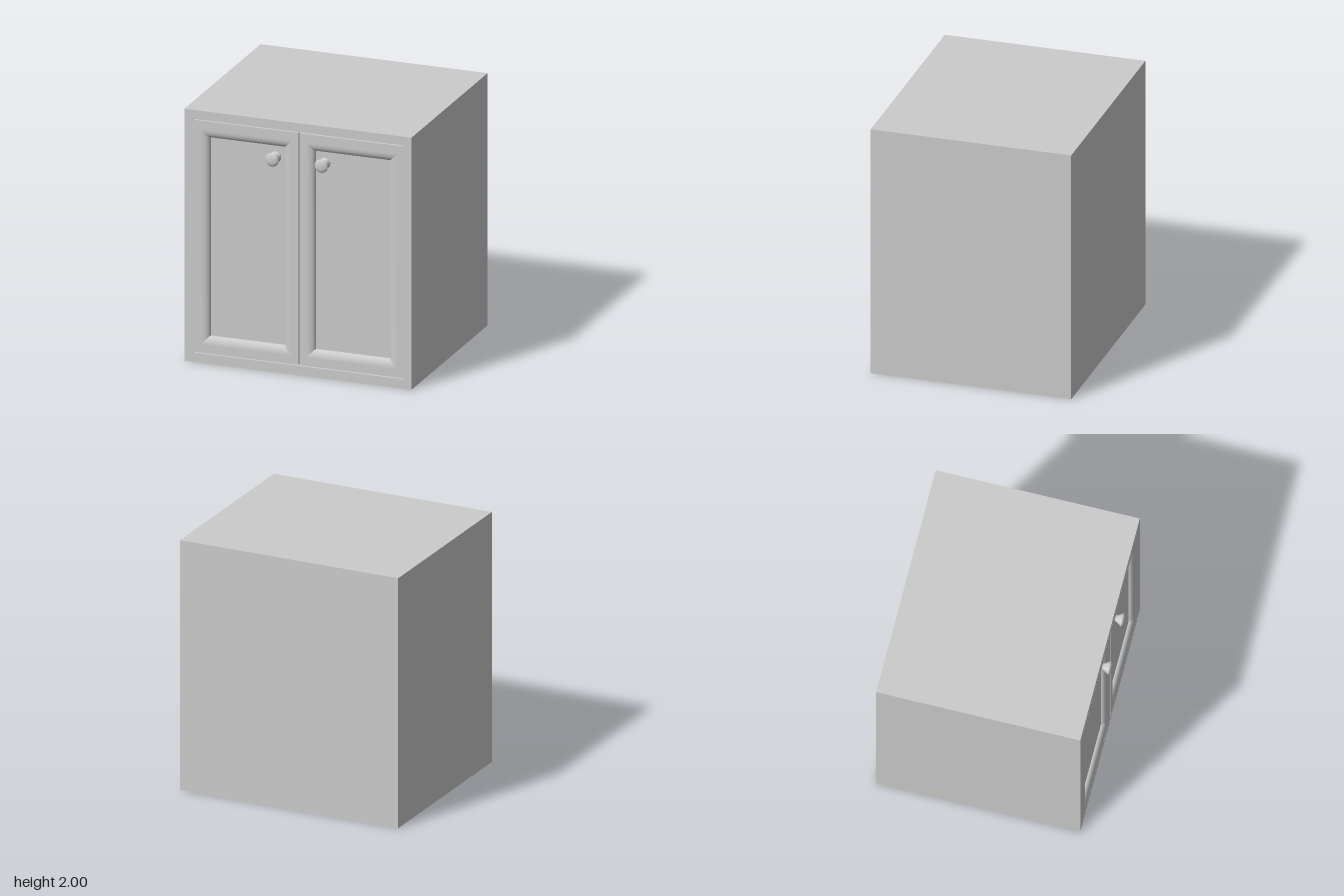
import * as THREE from 'three';
import { toCreasedNormals } from 'three/addons/utils/BufferGeometryUtils.js';

const material = new THREE.MeshStandardMaterial({ color: 0xcccccc });
const FRONT = 0.757, BACK = -0.82, BACK_PANEL = 0.015;
const DOOR_DEPTH = 0.06, RECESS = 0.04, MOULD = 0.065;

function mesh(name, geometry) {
  const m = new THREE.Mesh(geometry, material);
  m.name = name;
  return m;
}

// Rectangle corners, counter-clockwise seen from the front
const corners = ({ x0, x1, y0, y1 }, inset = 0) => [
  new THREE.Vector2(x0 + inset, y0 + inset),
  new THREE.Vector2(x1 - inset, y0 + inset),
  new THREE.Vector2(x1 - inset, y1 - inset),
  new THREE.Vector2(x0 + inset, y1 - inset),
];

// Rectangular frame whose front lies at FRONT
function frame(outer, opening, depth) {
  const shape = new THREE.Shape(corners(outer));
  shape.holes.push(new THREE.Path(corners(opening).reverse()));
  return new THREE.ExtrudeGeometry(shape, { depth, bevelEnabled: false })
    .translate(0, 0, FRONT - depth);
}

// Quarter-round moulding rolling inward to the panel, with mitred corners
function moulding(rect, steps = 10) {
  const positions = [], indices = [];
  for (let side = 0; side < 4; side++) {
    const base = positions.length / 3;
    for (let i = 0; i <= steps; i++) {
      const a = (i / steps) * Math.PI / 2;
      const ring = corners(rect, MOULD * Math.sin(a));
      const z = FRONT - RECESS * (1 - Math.cos(a));
      for (const p of [ring[side], ring[(side + 1) % 4]]) positions.push(p.x, p.y, z);
      if (i < steps) {
        const v = base + i * 2;
        indices.push(v, v + 1, v + 3, v, v + 3, v + 2);
      }
    }
  }
  const g = new THREE.BufferGeometry();
  g.setAttribute('position', new THREE.Float32BufferAttribute(positions, 3));
  g.setIndex(indices);
  g.computeVertexNormals();
  return g;
}

// Turned knob: round foot, narrow neck, flared head with a shallow dome
function knobGeometry() {
  const profile = [
    [0, 0], [0.038, 0], [0.043, 0.008], [0.04, 0.018], [0.029, 0.028], [0.026, 0.036],
    [0.03, 0.046], [0.051, 0.08], [0.053, 0.086], [0.049, 0.093], [0.037, 0.099],
    [0.02, 0.102], [0, 0.103],
  ].map(([r, y]) => new THREE.Vector2(r, y));
  return toCreasedNormals(new THREE.LatheGeometry(profile, 32).rotateX(Math.PI / 2), 0.7);
}

function door(name, outer, panel, knobX) {
  const g = new THREE.Group();
  g.name = name;
  const opening = {
    x0: panel.x0 - MOULD, x1: panel.x1 + MOULD, y0: panel.y0 - MOULD, y1: panel.y1 + MOULD,
  };
  g.add(mesh('doorFrame', frame(outer, opening, DOOR_DEPTH)));
  g.add(mesh('doorMoulding', moulding(opening)));

  const thickness = DOOR_DEPTH - RECESS;
  const board = mesh('doorPanel',
    new THREE.BoxGeometry(panel.x1 - panel.x0, panel.y1 - panel.y0, thickness));
  board.position.set((panel.x0 + panel.x1) / 2, (panel.y0 + panel.y1) / 2,
    FRONT - RECESS - thickness / 2);
  g.add(board);

  const knob = mesh('knob', knobGeometry());
  knob.position.set(knobX, 1.7, FRONT - RECESS);
  g.add(knob);
  return g;
}

export function createModel() {
  const group = new THREE.Group();
  group.name = 'cabinet';

  // Carcass: hollow body with a thin back panel
  const body = { x0: -0.9125, x1: 0.9125, y0: 0, y1: 2 };
  const mouth = { x0: -0.84, x1: 0.85, y0: 0.075, y1: 1.93 };
  group.add(mesh('carcass', frame(body, mouth, FRONT - BACK - BACK_PANEL)));
  const back = mesh('backPanel', new THREE.BoxGeometry(body.x1 - body.x0, 2, BACK_PANEL));
  back.position.set(0, 1, BACK + BACK_PANEL / 2);
  group.add(back);

  // Doors: hairline gaps above, below and between them
  const y0 = 0.083, y1 = 1.922;
  group.add(door('rightDoor', { x0: mouth.x0, x1: 0.003, y0, y1 },
    { x0: -0.715, x1: -0.115, y0: 0.215, y1: 1.787 }, -0.19));
  group.add(door('leftDoor', { x0: 0.012, x1: mouth.x1, y0, y1 },
    { x0: 0.13, x1: 0.73, y0: 0.215, y1: 1.787 }, 0.205));
  return group;
}
